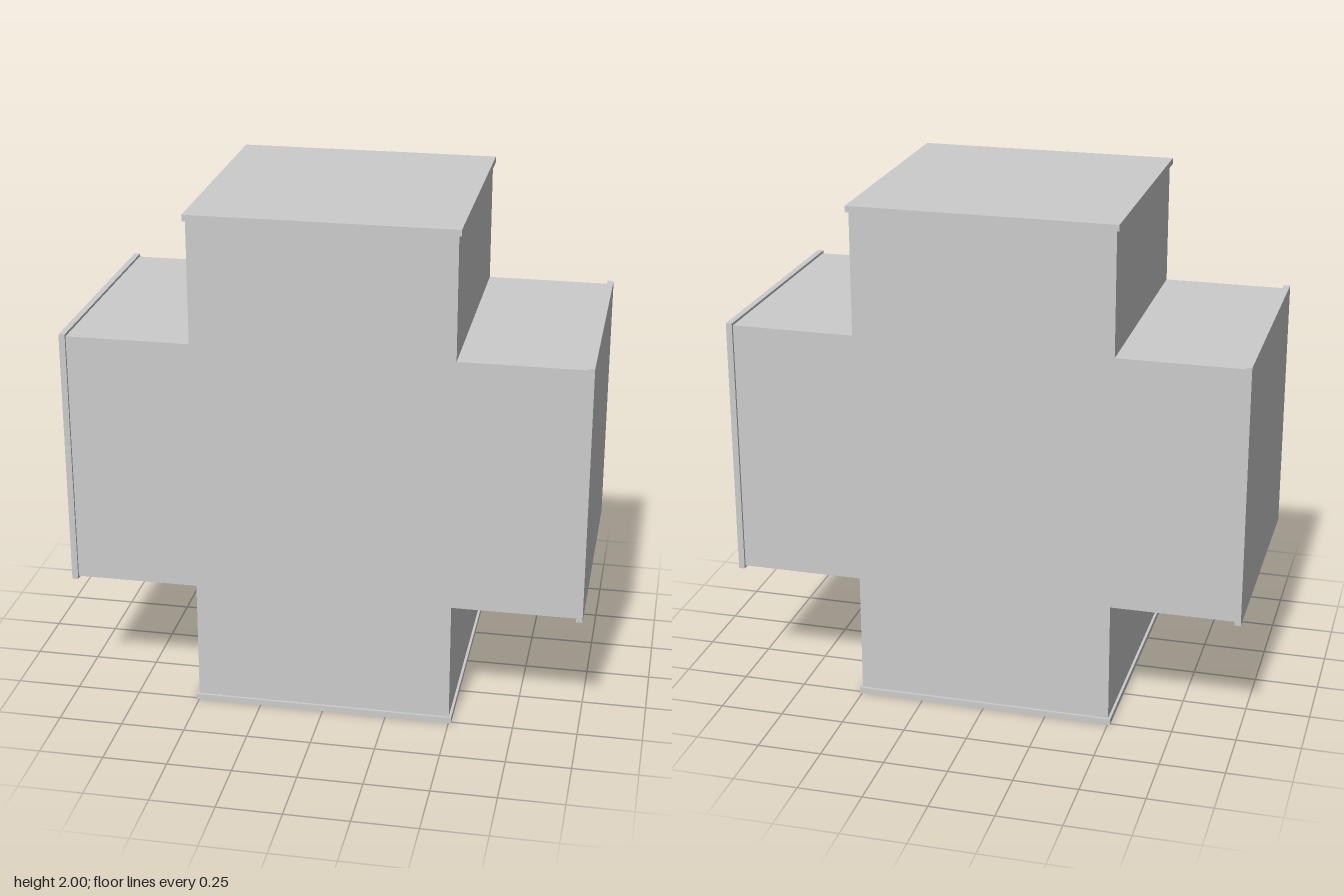
import * as THREE from 'three';

const HALF = 0.5;      // half width of each arm
const REACH = 1;       // distance from centre to an arm's end
const LIP = 0.51;      // half width of an end flange
const THICK = 0.024;   // flange thickness

export function createModel() {
  const group = new THREE.Group();
  const material = new THREE.MeshStandardMaterial({ color: 0xcccccc, flatShading: true });

  // Cross-shaped body: the same corner step turned through four quarters
  const end = REACH - THICK;
  const points = [];
  for (let i = 0; i < 4; i++) {
    for (const [x, y] of [[end, -HALF], [end, HALF], [HALF, HALF]]) {
      points.push(new THREE.Vector2(x, y).rotateAround(new THREE.Vector2(), i * Math.PI / 2));
    }
  }
  const bodyGeometry = new THREE.ExtrudeGeometry(new THREE.Shape(points), {
    depth: HALF * 2, bevelEnabled: false,
  });
  bodyGeometry.translate(0, REACH, -HALF);
  const body = new THREE.Mesh(bodyGeometry, material);
  body.name = 'crossBody';
  group.add(body);

  // Thin square flange closing each arm
  const flangeGeometry = new THREE.BoxGeometry(THICK, LIP * 2, LIP * 2);
  flangeGeometry.translate(REACH - THICK / 2, 0, 0);
  ['leftFlange', 'topFlange', 'rightFlange', 'bottomFlange'].forEach((name, i) => {
    const flange = new THREE.Mesh(flangeGeometry, material);
    flange.name = name;
    flange.position.y = REACH;
    flange.rotation.z = i * Math.PI / 2;
    group.add(flange);
  });

  return group;
}
